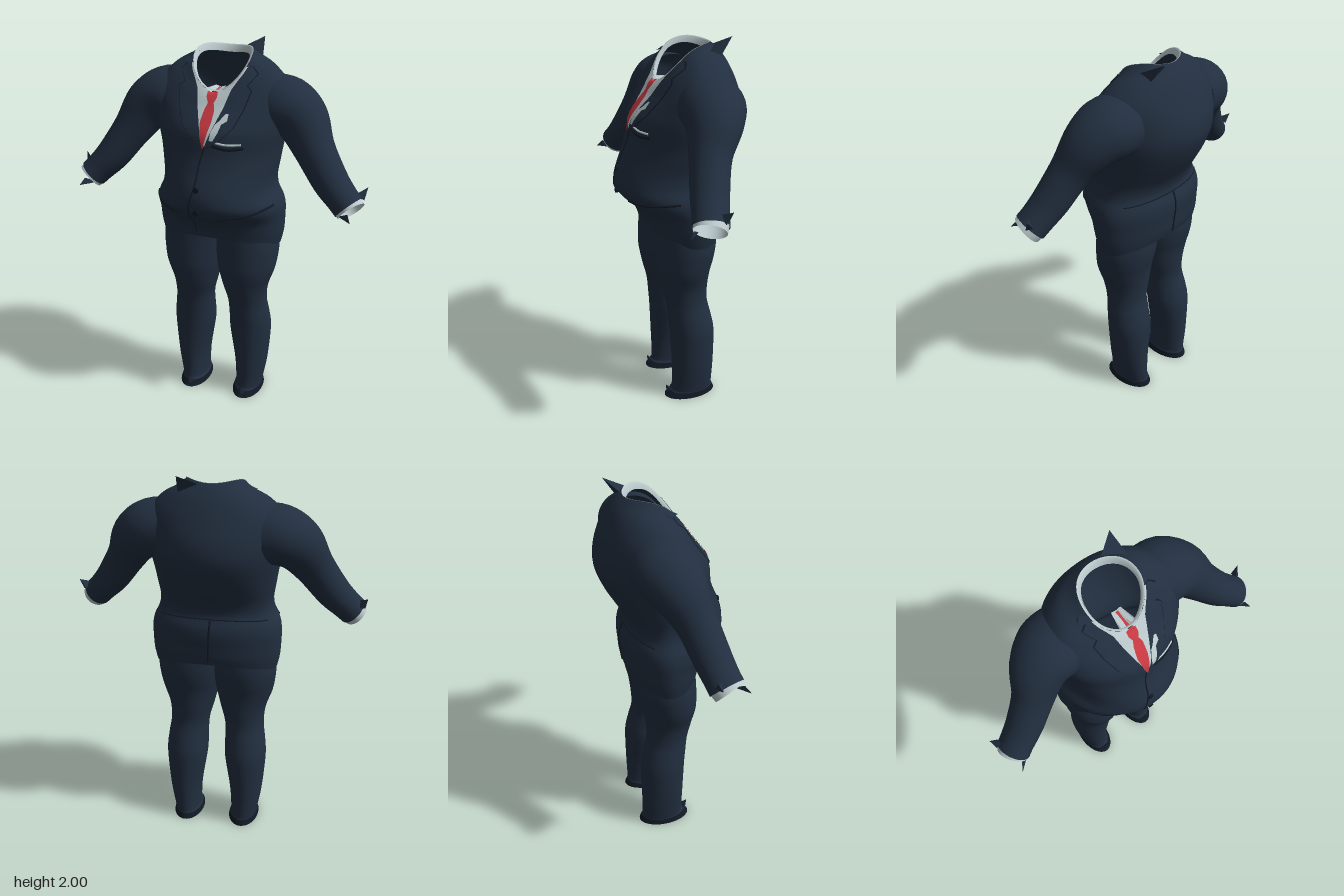
import * as THREE from 'three';

const mat = (name, color) => {
  const m = new THREE.MeshStandardMaterial({ color, side: THREE.DoubleSide });
  m.name = name;
  return m;
};

// Catmull-Rom interpolation through rows of numbers
function smooth(rows, sub) {
  const out = [], at = i => rows[Math.min(Math.max(i, 0), rows.length - 1)];
  for (let i = 0; i < rows.length - 1; i++)
    for (let k = 0; k < sub; k++) {
      const t = k / sub;
      out.push(rows[i].map((b, j) => {
        const a = at(i - 1)[j], c = at(i + 1)[j], d = at(i + 2)[j];
        return b + 0.5 * t * (c - a + t * (2 * a - 5 * b + 4 * c - d + t * (3 * (b - c) + d - a)));
      }));
    }
  out.push(rows[rows.length - 1]);
  return out;
}

// Skin joining a list of point rows, closed into rings or left as an open sheet
function skin(name, rows, material, closed = true) {
  const n = rows[0].length, idx = [];
  for (let i = 0; i < rows.length - 1; i++)
    for (let j = 0; j < (closed ? n : n - 1); j++) {
      const a = i * n + j, b = i * n + (j + 1) % n;
      idx.push(a, a + n, b, b, a + n, b + n);
    }
  const g = new THREE.BufferGeometry().setFromPoints(rows.flat());
  g.setIndex(idx);
  g.computeVertexNormals();
  const mesh = new THREE.Mesh(g, material);
  mesh.name = name;
  return mesh;
}

const ring = (n, f) => Array.from({ length: n }, (_, j) => {
  const a = j / n * Math.PI * 2;
  return f(Math.cos(a), Math.sin(a));
});

// Torso ring: front, side and back heights, half width, front z, back z
function torsoRing([yF, yS, yB, w, zF, zB]) {
  return ring(64, (c, s) => new THREE.Vector3(
    w * c,
    yS + (yF - yB) / 2 * s + ((yF + yB) / 2 - yS) * s * s,
    -0.02 + s * (s > 0 ? zF + 0.02 : -0.02 - zB)));
}

// Small pointed flap of cloth
function flap(name, pts, material) {
  const g = new THREE.BufferGeometry().setFromPoints(pts.map(p => new THREE.Vector3(...p)));
  g.setIndex([0, 1, 2, 0, 2, 3, 0, 3, 1, 1, 3, 2]);
  const flat = g.toNonIndexed();
  flat.computeVertexNormals();
  const mesh = new THREE.Mesh(flat, material);
  mesh.name = name;
  return mesh;
}

export function createModel() {
  const model = new THREE.Group();
  model.name = 'suit';
  const navy = mat('navy cloth', 0x222f40), trim = mat('dark seam', 0x121924);
  const light = mat('shirt grey', 0xbccacd), red = mat('tie red', 0xc93a42);

  // Jacket body, hem to neck
  const flat = (y, w, f, b) => [y, y, y, w, f, b];
  const body = [
    [1.03, 0.97, 1.02, 0.328, 0.185, -0.195], [1.07, 1.04, 1.06, 0.342, 0.195, -0.205],
    flat(1.12, 0.346, 0.22, -0.21), flat(1.18, 0.345, 0.285, -0.215),
    flat(1.23, 0.333, 0.325, -0.21), flat(1.29, 0.305, 0.328, -0.19),
    flat(1.35, 0.298, 0.31, -0.205), flat(1.42, 0.308, 0.28, -0.245),
    flat(1.5, 0.32, 0.255, -0.29), flat(1.6, 0.34, 0.24, -0.327),
    [1.67, 1.7, 1.7, 0.35, 0.195, -0.322], [1.72, 1.79, 1.81, 0.345, 0.155, -0.28],
    [1.75, 1.87, 1.89, 0.27, 0.135, -0.24], [1.77, 1.91, 1.935, 0.19, 0.12, -0.205],
    [1.785, 1.94, 1.96, 0.148, 0.105, -0.178],
  ];
  const jacket = skin('jacketBody', smooth(body, 4).map(torsoRing), navy);
  model.add(jacket);

  // Shirt collar rim inside the neck
  model.add(skin('shirtCollar', [
    [1.788, 1.943, 1.962, 0.15, 0.107, -0.178],
    [1.792, 1.94, 1.957, 0.14, 0.098, -0.168],
    [1.772, 1.915, 1.925, 0.132, 0.09, -0.158],
  ].map(torsoRing), light));

  // Depth of the jacket surface at x, y seen from the front (dir 1) or back (dir -1)
  const ray = new THREE.Raycaster();
  function depth(x, y, dir = 1) {
    for (let k = 0; k < 8; k++) {
      ray.set(new THREE.Vector3(x * (1 + 0.04 * k), y, 3 * dir), new THREE.Vector3(0, 0, -dir));
      const hit = ray.intersectObject(jacket)[0];
      if (hit && hit.point.z * dir > -0.1) return hit.point.z;
    }
    return 0;
  }

  // Thin plate following the jacket front; rows are [y, inner x, outer x]
  function patch(name, rows, offset, material, side = 1) {
    const fine = [];
    rows.forEach((r, i) => {
      const next = rows[i + 1];
      for (let k = 0; k < (next ? 4 : 1); k++)
        fine.push(next ? r.map((v, j) => v + (next[j] - v) * k / 4) : r);
    });
    model.add(skin(name, fine.map(([y, a, b]) => Array.from({ length: 8 }, (_, j) => {
      const x = side * (a + (b - a) * j / 7);
      return new THREE.Vector3(x, y, depth(x, y) + offset);
    })), material, false));
  }

  // Raised seam line on the jacket through [x, y] points
  function seam(name, pts, r = 0.004, dir = 1, material = trim) {
    const path = new THREE.CatmullRomCurve3(pts.map(([x, y]) => new THREE.Vector3(x, y, 0)))
      .getPoints(20).map(p => p.setZ(depth(p.x, p.y, dir)));
    const g = new THREE.TubeGeometry(new THREE.CatmullRomCurve3(path), 40, r, 6);
    const mesh = new THREE.Mesh(g, material);
    mesh.name = name;
    model.add(mesh);
  }

  // Shirt front and lapels
  const lapel = [[1.9, 0.147, 0.165], [1.87, 0.132, 0.198], [1.84, 0.112, 0.175], [1.82, 0.1, 0.16],
    [1.8, 0.088, 0.185], [1.72, 0.066, 0.165], [1.64, 0.036, 0.13], [1.58, 0.014, 0.07], [1.54, 0, 0.012]];
  for (const s of [1, -1]) {
    patch('shirtFront', [[1.9, 0.139, 0.149], [1.863, 0.119, 0.132], [1.827, 0.09, 0.108], [1.8, 0.052, 0.092],
      [1.785, 0, 0.086], [1.72, 0, 0.068], [1.64, 0, 0.038], [1.55, 0, 0.008]], 0.004, light, s);
    patch('lapelEdge', lapel.map(([y, a, b]) => [y, a, b + 0.005]), 0.003, trim, s);
    patch('lapel', lapel, 0.007, navy, s);
  }
  patch('shirtFold', [[1.7, 0.085, 0.1], [1.67, 0.062, 0.1], [1.655, 0.045, 0.075], [1.62, 0.03, 0.065],
    [1.58, 0.025, 0.045]], 0.009, light);

  // Tie: knot and blade
  patch('tieKnot', [[1.787, -0.028, 0.024], [1.765, -0.028, 0.026], [1.74, -0.015, 0.015]], 0.012, red);
  patch('tieBlade', [[1.742, -0.014, 0.014], [1.71, -0.026, 0.026], [1.66, -0.034, 0.024],
    [1.6, -0.024, 0.01], [1.54, -0.008, -0.003]], 0.011, red);

  // Front closing, pockets and back seams
  seam('frontClosing', [[0, 1.54], [-0.02, 1.46], [-0.03, 1.36], [-0.055, 1.26], [-0.068, 1.16], [-0.07, 1.06]]);
  seam('breastPocket', [[0.04, 1.555], [0.11, 1.54], [0.185, 1.545]], 0.009);
  seam('pocketSquare', [[0.045, 1.572], [0.1, 1.562], [0.175, 1.562]], 0.006, 1, light);
  seam('leftPocket', [[0.07, 1.185], [0.2, 1.2], [0.315, 1.225]], 0.006);
  seam('rightPocket', [[-0.13, 1.195], [-0.22, 1.2], [-0.315, 1.225]], 0.006);
  seam('backWaistSeam', [[-0.28, 1.26], [-0.15, 1.27], [0, 1.275], [0.15, 1.27], [0.28, 1.26]], 0.003, -1);
  seam('backVent', [[0, 1.27], [0.005, 1.15], [0.01, 1.04]], 0.005, -1);
  for (const y of [1.34, 1.22]) {
    const button = new THREE.Mesh(new THREE.CylinderGeometry(0.014, 0.016, 0.012, 16), trim);
    button.name = 'button';
    button.rotation.x = Math.PI / 2;
    button.position.set(-0.02, y, depth(-0.02, y) + 0.003);
    model.add(button);
  }

  // Upturned collar corner on the left, flat one on the right
  model.add(flap('collarCorner', [[0.06, 1.955, -0.178], [0.165, 1.925, -0.09], [0.15, 2, -0.238], [0.16, 1.9, -0.17]], navy));
  model.add(flap('collarFold', [[-0.13, 1.955, -0.07], [-0.2, 1.905, 0], [-0.15, 1.9, 0.045], [-0.18, 1.9, -0.08]], navy));

  // Sleeve rows: centre x, y, z, radius across, radius in z
  const sleeve = [[0.24, 1.7, -0.07, 0.155, 0.16], [0.33, 1.695, -0.058, 0.15, 0.165],
    [0.415, 1.64, -0.03, 0.134, 0.138], [0.495, 1.52, 0.022, 0.103, 0.102],
    [0.59, 1.385, 0.065, 0.09, 0.093], [0.66, 1.31, 0.09, 0.08, 0.088], [0.7, 1.27, 0.105, 0.078, 0.088]];
  const cuff = [[0.67, 1.3, 0.09, 0.07, 0.08], [0.69, 1.28, 0.1, 0.073, 0.083], [0.715, 1.255, 0.115, 0.072, 0.08]];
  function armSkin(name, rows, side, material) {
    const centres = rows.map(r => new THREE.Vector3(r[0], r[1], r[2]));
    return skin(name, rows.map((r, i) => {
      const t = centres[Math.min(i + 1, rows.length - 1)].clone().sub(centres[Math.max(i - 1, 0)]).normalize();
      const up = new THREE.Vector3(-t.y, t.x, 0).normalize(), across = t.clone().cross(up);
      return ring(32, (c, s) => centres[i].clone().addScaledVector(up, r[3] * c)
        .addScaledVector(across, r[4] * s).multiply(new THREE.Vector3(side, 1, 1)));
    }), material);
  }

  // Trouser rows: y, inner x, outer x, front z, back z
  const leg = [[1.12, -0.04, 0.3, 0.14, -0.15], [0.97, -0.03, 0.322, 0.15, -0.158], [0.88, -0.02, 0.318, 0.155, -0.148],
    [0.8, -0.005, 0.303, 0.155, -0.13], [0.7, 0.02, 0.27, 0.138, -0.12], [0.6, 0.046, 0.262, 0.112, -0.116],
    [0.5, 0.05, 0.275, 0.1, -0.138], [0.4, 0.052, 0.282, 0.092, -0.155], [0.2, 0.083, 0.266, 0.085, -0.153],
    [0.06, 0.092, 0.243, 0.085, -0.15], [0.03, 0.088, 0.238, 0.095, -0.152], [0.005, 0.08, 0.245, 0.122, -0.165]];
  const legRing = ([y, a, b, f, k], s) => ring(40, (c, d) => new THREE.Vector3(
    s * ((a + b) / 2 + (b - a) / 2 * c), y, (f + k) / 2 + (f - k) / 2 * d));

  for (const s of [1, -1]) {
    const side = s > 0 ? 'left' : 'right', m = p => p.map(([x, y, z]) => [x * s, y, z]);
    model.add(armSkin(side + 'Sleeve', smooth(sleeve, 5), s, navy));
    model.add(armSkin(side + 'Cuff', cuff, s, light));
    model.add(flap(side + 'CuffTopPoint', m([[0.725, 1.335, 0.08], [0.765, 1.3, 0.06], [0.775, 1.36, 0.03], [0.74, 1.31, 0.03]]), navy));
    model.add(flap(side + 'CuffFrontPoint', m([[0.66, 1.24, 0.16], [0.71, 1.27, 0.19], [0.73, 1.235, 0.218], [0.69, 1.25, 0.16]]), navy));
    model.add(skin(side + 'Trouser', smooth(leg, 5).map(r => legRing(r, s)), navy));
    const hem = [[0.03, 0.086, 0.24, 0.1, -0.155], [0, 0.078, 0.247, 0.126, -0.168]];
    model.add(skin(side + 'TrouserHem', hem.map(r => legRing(r, s)), trim));
    model.add(flap(side + 'HemPoint', m([[0.13, 0.03, 0.09], [0.19, 0.03, 0.09], [0.16, 0.07, 0.122], [0.16, 0.015, 0.115]]), navy));
  }
  return model;
}
